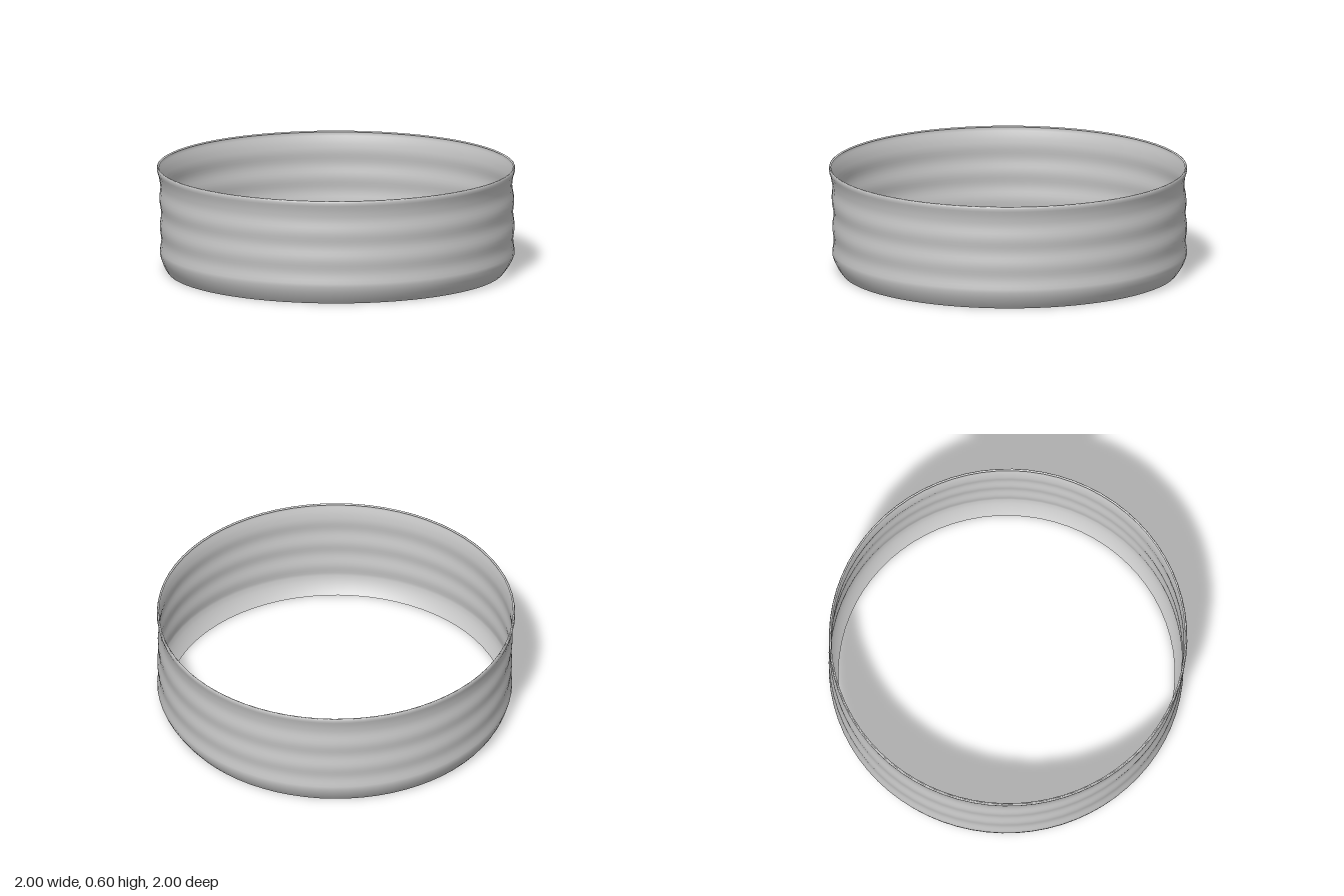
import * as THREE from 'three';

export function createModel() {
  const model = new THREE.Group();
  model.name = 'ribbedRing';

  const metal = new THREE.MeshStandardMaterial({ color: 0xc8c8c8, side: THREE.DoubleSide });
  metal.name = 'grey metal';

  // Profile: tapered foot, softly rippled wall, flared rim with a small inward lip
  const profile = [[0.938, 0], [0.953, 0.02], [0.968, 0.045], [0.98, 0.07]];
  for (let y = 0.1; y < 0.53; y += 0.02) {
    profile.push([0.986 + 0.004 * Math.cos((y - 0.1) / 0.153 * 2 * Math.PI), y]);
  }
  profile.push([0.99, 0.545], [0.997, 0.565], [1, 0.58], [0.998, 0.592], [0.993, 0.595], [0.987, 0.588]);

  const geometry = new THREE.LatheGeometry(profile.map(([r, y]) => new THREE.Vector2(r, y)), 72);

  // The wall sits slightly off the centre of the rim
  const pos = geometry.attributes.position;
  for (let i = 0; i < pos.count; i++) {
    const y = pos.getY(i);
    const body = 1 - THREE.MathUtils.smoothstep(y, 0.3, 0.56);
    const foot = THREE.MathUtils.smoothstep(y, 0, 0.1);
    pos.setX(i, pos.getX(i) + 0.008 * body * foot);
    pos.setZ(i, pos.getZ(i) - 0.009 * body);
  }

  const band = new THREE.Mesh(geometry, metal);
  band.name = 'band';
  model.add(band);
  return model;
}
